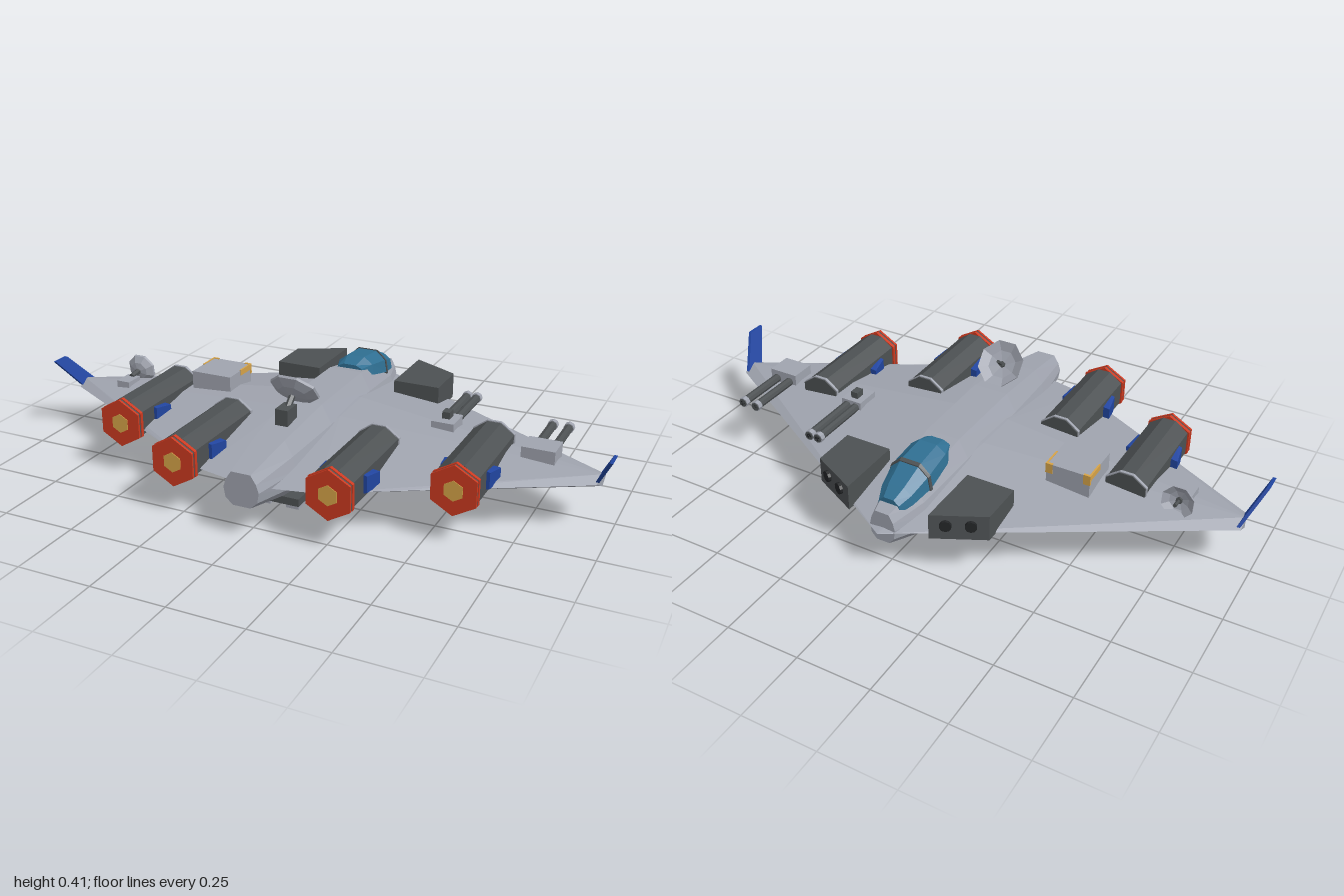
import * as THREE from 'three';
import { ConvexGeometry } from 'three/addons/geometries/ConvexGeometry.js';

const paint = (name, color) => {
  const m = new THREE.MeshStandardMaterial({ color, flatShading: true });
  m.name = name;
  return m;
};

// Flat-faced solid through rings of [x, y, z]; rings run anticlockwise seen from +z, z increasing
function loft(rings) {
  const pos = [], n = rings[0].length, last = rings[rings.length - 1];
  const tri = (...p) => p.forEach(v => pos.push(...v));
  for (let k = 0; k < rings.length - 1; k++) {
    const a = rings[k], b = rings[k + 1];
    for (let i = 0; i < n; i++) {
      const j = (i + 1) % n;
      tri(a[i], a[j], b[j]);
      tri(a[i], b[j], b[i]);
    }
  }
  for (let i = 1; i < n - 1; i++) {
    tri(rings[0][0], rings[0][i + 1], rings[0][i]);
    tri(last[0], last[i], last[i + 1]);
  }
  const g = new THREE.BufferGeometry();
  g.setAttribute('position', new THREE.Float32BufferAttribute(pos, 3));
  g.computeVertexNormals();
  return g;
}

// Mirrors the right-hand half of a section (bottom to top) into a full ring
const ring = (half, z) => [
  ...half.map(([x, y]) => [x, y, z]),
  ...half.slice().reverse().map(([x, y]) => [-x, y, z]),
];

const convex = pts => new ConvexGeometry(pts.map(p => new THREE.Vector3(...p)));

export function createModel() {
  const group = new THREE.Group();
  const grey = paint('light grey', 0xa0a4af);
  const dark = paint('dark grey', 0x4d5153);
  const blue = paint('blue', 0x2145a0);
  const glass = paint('canopy blue', 0x2f6f92);
  const red = paint('red', 0xcc3a20);
  const gold = paint('gold', 0xd6a348);
  const black = paint('black', 0x232527);

  const add = (name, geo, mat, x = 0, y = 0, z = 0, parent = group) => {
    const m = new THREE.Mesh(geo, mat);
    m.name = name;
    m.position.set(x, y, z);
    parent.add(m);
    return m;
  };
  const box = (name, mat, x0, x1, y0, y1, z0, z1) =>
    add(name, new THREE.BoxGeometry(x1 - x0, y1 - y0, z1 - z0), mat,
      (x0 + x1) / 2, (y0 + y1) / 2, (z0 + z1) / 2);
  // Cylinder lying along z
  const rod = (name, mat, r, len, sides, x, y, z, parent = group) =>
    add(name, new THREE.CylinderGeometry(r, r, len, sides).rotateX(Math.PI / 2), mat, x, y, z, parent);

  // Double-wedge delta wing
  const wingPts = [[0, 0.153, -0.575], [0, 0.15, 0.52]];
  for (const s of [-1, 1]) {
    for (const [x, y, z] of [
      [0.955, 0.155, -0.015], [0.945, 0.155, 0.075], [0.955, 0.175, 0.03], [0.955, 0.135, 0.03],
      [0.76, 0.155, 0.17], [0.4, 0.152, 0.37], [0.2, 0.15, 0.477],
      [0.1, 0.235, -0.09], [0.1, 0.23, 0.08], [0.1, 0.067, -0.09], [0.1, 0.073, 0.08],
    ]) wingPts.push([s * x, y, z]);
  }
  add('wing', convex(wingPts), grey);

  // Fuselage: z, half width, bottom, top
  add('fuselage', loft([
    [-0.545, 0.045, 0.105, 0.213], [-0.42, 0.085, 0.062, 0.245], [-0.18, 0.108, 0.045, 0.287],
    [0.14, 0.112, 0.045, 0.287], [0.38, 0.09, 0.066, 0.254], [0.57, 0.06, 0.105, 0.215],
  ].map(([z, w, b, t]) => {
    const h = t - b;
    return ring([[w * 0.5, b], [w * 0.9, b + h * 0.2], [w, b + h * 0.5],
      [w * 0.86, b + h * 0.74], [w * 0.55, t]], z);
  })), grey);

  // Canopy and its frame
  const canopyRing = (z, w, t, b) => ring([[w, b], [w * 0.9, b + (t - b) * 0.6], [w * 0.45, t]], z);
  add('canopy', loft([
    canopyRing(-0.505, 0.04, 0.24, 0.2), canopyRing(-0.46, 0.06, 0.262, 0.21),
    canopyRing(-0.375, 0.075, 0.3, 0.225), canopyRing(-0.27, 0.07, 0.31, 0.25),
    canopyRing(-0.215, 0.05, 0.295, 0.27),
  ]), glass);
  add('canopyFrame', loft([canopyRing(-0.385, 0.077, 0.299, 0.22),
    canopyRing(-0.373, 0.078, 0.304, 0.22)]), dark);

  // Belly bay with twin rails
  box('bellyPlate', dark, -0.085, 0.085, 0.024, 0.05, -0.2, 0.36);
  box('bellySlot', red, -0.025, 0.025, 0.018, 0.025, -0.16, 0.32);
  for (const s of [-1, 1])
    add('bellyRail', new THREE.BoxGeometry(0.045, 0.025, 0.505), grey, s * 0.05, 0.0125, 0.083);

  // Four engines
  const engineHalf = [[0.022, -0.073], [0.067, -0.04], [0.067, 0.04], [0.022, 0.073]];
  for (const s of [-1, 1]) for (const [x, z0, padZ] of [[0.265, 0.135, 0.385], [0.585, -0.05, 0.205]]) {
    const engine = new THREE.Group();
    engine.name = 'engine';
    engine.position.set(s * x, 0.18, z0);
    group.add(engine);
    add('engineBody', loft([ring(engineHalf, 0), ring(engineHalf, 0.365)]), dark, 0, 0, 0, engine);
    const lip = engineHalf.map(([a, b]) => [a * 1.04, b * 1.04]);
    add('intakeLip', loft([ring(lip, 0.004), ring(lip, 0.014)]), grey, 0, 0, 0, engine);
    rod('nozzleCollar', dark, 0.081, 0.008, 6, 0, 0, 0.381, engine);
    rod('nozzleRing', red, 0.084, 0.012, 6, 0, 0, 0.371, engine);
    rod('nozzleFace', red, 0.083, 0.008, 6, 0, 0, 0.389, engine);
    rod('exhaustGlow', gold, 0.034, 0.006, 6, 0, 0, 0.392, engine);
    // Side pads, tapered forwards
    for (const e of [-1, 1]) add('enginePad', convex([
      [0.06, -0.03, 0.035], [0.06, 0.035, 0.035], [0.078, -0.024, 0.035], [0.078, 0.03, 0.035],
      [0.06, -0.03, -0.035], [0.06, 0.024, -0.035], [0.09, -0.026, -0.035], [0.09, 0.02, -0.035],
    ].map(p => [e * p[0], p[1], p[2]])), blue, 0, 0, padZ - z0, engine);
  }

  for (const s of [-1, 1]) {
    // Launcher boxes with slanted faces and two tubes each
    const plan = [[0.145, -0.275], [0.31, -0.275], [0.31, -0.43], [0.145, -0.513]];
    add('launcherBox', convex(plan.flatMap(([x, z]) => [[s * x, 0.15, z], [s * x, 0.238, z]])), dark);
    for (const t of [0.28, 0.7]) {
      const tube = rod('launcherTube', black, 0.019, 0.02, 10,
        s * (0.145 + 0.165 * t), 0.203, -0.513 + 0.083 * t);
      tube.rotation.y = -s * Math.atan2(0.083, 0.165);
    }
    // Swept wingtip fins
    add('wingtipFin', convex([[0.94, 0.16, -0.012], [0.94, 0.16, 0.065], [0.99, 0.267, 0.08], [0.99, 0.267, 0.145]]
      .flatMap(([x, y, z]) => [[s * x, y, z], [s * (x + 0.011), y, z]])), blue);
  }

  // Octagonal antenna dish, facing the nose
  const dish = (name, r, x, y, z, tilt) => {
    const d = new THREE.Group();
    d.name = name;
    d.position.set(x, y, z);
    d.rotation.x = tilt;
    group.add(d);
    const bowl = new THREE.LatheGeometry([[0, 0.012], [r * 0.6, 0.004], [r, -0.012], [r * 0.98, -0.004],
      [r * 0.6, 0.012], [0, 0.02]].map(p => new THREE.Vector2(...p)), 8, Math.PI / 8).rotateX(Math.PI / 2);
    const m = add('dishBowl', bowl, grey, 0, 0, 0, d);
    m.material = dishGrey;
    rod('dishFeed', dark, 0.006, 0.045, 6, 0, 0, -0.012, d);
    rod('dishStrut', dark, 0.011, 0.06, 6, 0, 0, 0.03, d);
  };
  const dishGrey = grey.clone();
  dishGrey.side = THREE.DoubleSide;
  dish('mainDish', 0.083, 0, 0.349, 0.215, 0.72);
  box('mainDishBase', dark, -0.022, 0.022, 0.25, 0.318, 0.24, 0.305);
  dish('smallDish', 0.055, -0.76, 0.213, -0.045, 0.15);
  box('smallDishBase', grey, -0.785, -0.735, 0.16, 0.205, 0.0, 0.07);

  // Cargo box with gold corner marks
  box('cargoBox', grey, -0.5, -0.35, 0.18, 0.268, -0.135, 0.015);
  for (const x of [-0.49, -0.36]) {
    box('cargoMark', gold, x - 0.012, x + 0.012, 0.235, 0.27, -0.137, -0.128);
    const ex = x < -0.42 ? -0.499 : -0.351;
    box('cargoSideMark', gold, ex - 0.003, ex + 0.003, 0.25, 0.27, -0.137, -0.06);
  }

  // Twin-barrelled turrets on the left wing
  const barrels = (x, gap, r, y, zFront, zBack) => {
    for (const s of [-1, 1]) {
      rod('gunBarrel', dark, r, zBack - zFront, 8, x + s * gap, y, (zFront + zBack) / 2);
      rod('gunMuzzle', grey, r * 1.18, 0.018, 8, x + s * gap, y, zFront + 0.012);
      rod('gunBore', black, r * 0.6, 0.004, 8, x + s * gap, y, zFront + 0.002);
    }
  };
  box('innerTurret', grey, 0.385, 0.462, 0.18, 0.235, -0.09, 0);
  box('innerTurretSight', dark, 0.41, 0.436, 0.235, 0.258, -0.07, -0.035);
  barrels(0.423, 0.017, 0.015, 0.214, -0.315, -0.085);
  box('outerTurret', grey, 0.7, 0.808, 0.165, 0.226, -0.04, 0.05);
  barrels(0.755, 0.027, 0.015, 0.196, -0.24, -0.035);

  return group;
}
